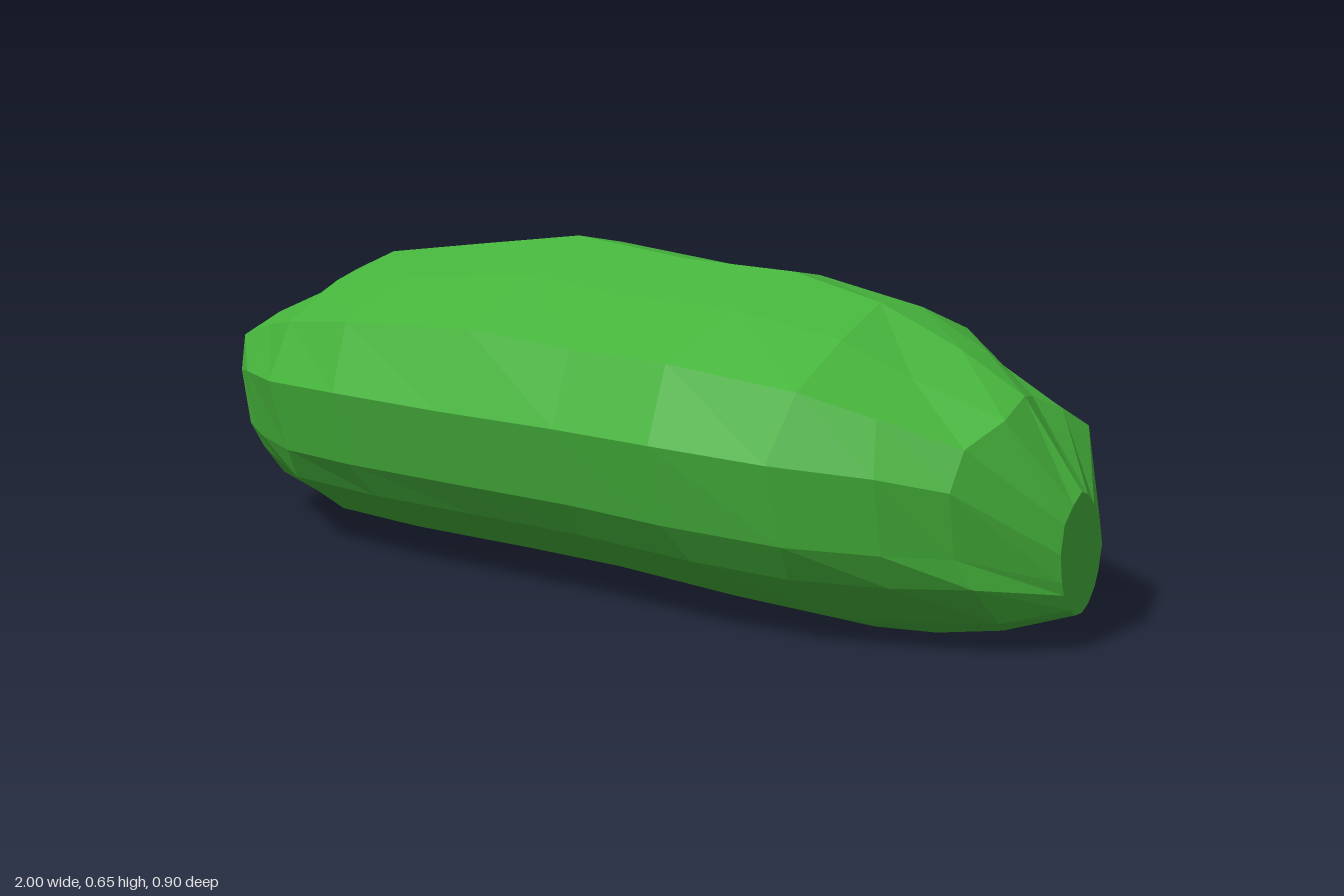
import * as THREE from 'three';

// Cross-section outline as [depth, height] fractions, starting at the front edge and going over the top
const OUTLINE = [
  [1, 0], [0.86, 0.51], [0.47, 0.8], [0.08, 1], [-0.2, 0.92], [-0.53, 0.7], [-0.83, 0.42], [-1, -0.06],
  [-0.87, -0.44], [-0.71, -0.67], [-0.43, -0.89], [-0.12, -1], [0.2, -1], [0.47, -0.89], [0.78, -0.63], [0.9, -0.43],
];

// Stations along the length: x, bottom, widest height, top, back z, front z
const STATIONS = [
  [-1, 0.16, 0.27, 0.36, -0.1, 0.08],
  [-0.9, 0.05, 0.33, 0.465, -0.255, 0.25],
  [-0.76, 0.022, 0.35, 0.535, -0.35, 0.33],
  [-0.62, 0.018, 0.36, 0.585, -0.4, 0.42],
  [-0.4, 0.016, 0.365, 0.62, -0.43, 0.447],
  [-0.11, 0.016, 0.36, 0.655, -0.455, 0.435],
  [0.14, 0.014, 0.36, 0.63, -0.456, 0.425],
  [0.39, 0.006, 0.36, 0.628, -0.443, 0.43],
  [0.62, 0.003, 0.35, 0.59, -0.385, 0.395],
  [0.76, 0.01, 0.335, 0.52, -0.3, 0.31],
  [0.89, 0.032, 0.31, 0.45, -0.225, 0.225],
  [0.995, 0.07, 0.19, 0.29, -0.09, 0.055],
];

function createBodyGeometry() {
  const n = OUTLINE.length;
  const last = STATIONS.length - 1;
  const positions = [];
  const index = [];

  // Rings, slightly staggered along the length for irregular facets
  STATIONS.forEach(([x, bottom, mid, top, back, front], i) => {
    const zc = (front + back) / 2;
    const zr = (front - back) / 2;
    OUTLINE.forEach(([u, v], j) => {
      const stagger = i > 0 && i < last ? 0.018 * Math.sin(i * 2.3 + j * 1.7) : 0;
      const y = v > 0 ? mid + v * (top - mid) : mid + v * (mid - bottom);
      positions.push(x + stagger, y, zc + u * zr);
    });
  });

  // Facets between neighbouring rings
  for (let i = 0; i < last; i++) {
    for (let j = 0; j < n; j++) {
      const k = (j + 1) % n;
      const a = i * n + j, b = i * n + k, c = a + n, d = b + n;
      index.push(a, c, b, b, c, d);
    }
  }

  // Flat ends
  for (const i of [0, last]) {
    const [x, bottom, , top, back, front] = STATIONS[i];
    const centre = positions.length / 3;
    positions.push(x, (bottom + top) / 2, (back + front) / 2);
    for (let j = 0; j < n; j++) {
      const a = i * n + j, b = i * n + (j + 1) % n;
      if (i === 0) index.push(centre, a, b);
      else index.push(centre, b, a);
    }
  }

  const geometry = new THREE.BufferGeometry();
  geometry.setAttribute('position', new THREE.Float32BufferAttribute(positions, 3));
  geometry.setIndex(index);
  geometry.computeVertexNormals();
  return geometry;
}

export function createModel() {
  const group = new THREE.Group();
  group.name = 'facetedPod';
  const material = new THREE.MeshStandardMaterial({ color: 0x46b43c, flatShading: true });
  const body = new THREE.Mesh(createBodyGeometry(), material);
  body.name = 'body';
  group.add(body);
  return group;
}
